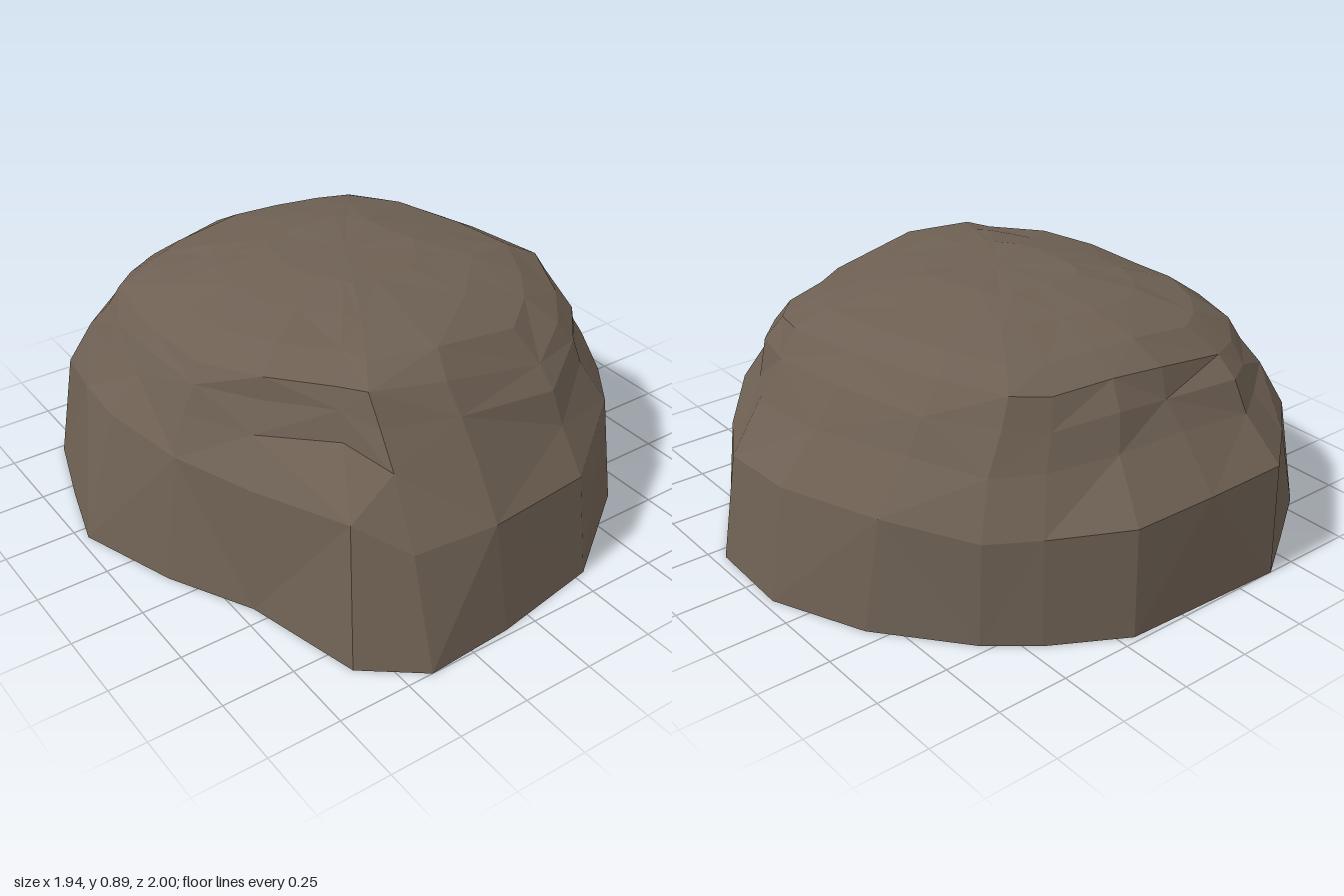
import * as THREE from 'three';

// Columns around the boulder, from the back round by the +x side:
// base x, base z, rim x, rim z, shoulder height, shoulder inset, ledge inset
const columns = [
  [-0.40, -1.00, -0.38, -0.72, 0.38, 0.08, 0.55],
  [-0.10, -0.99, -0.10, -0.74, 0.38, 0.03, 0.62],
  [0.20, -0.98, 0.08, -0.72, 0.37, 0.03, 0.62],
  [0.45, -0.84, 0.30, -0.68, 0.36, 0.08, 0.55],
  [0.60, -0.72, 0.42, -0.62, 0.36, 0.10, 0.50],
  [0.83, -0.44, 0.52, -0.42, 0.38, 0.20, 0.55],
  [0.97, -0.12, 0.62, -0.12, 0.39, 0.20, 0.55],
  [0.96, 0.20, 0.65, 0.17, 0.38, 0.21, 0.58],
  [0.82, 0.42, 0.58, 0.36, 0.36, 0.20, 0.52],
  [0.65, 0.65, 0.47, 0.50, 0.40, 0.24, 0.54],
  [0.29, 0.91, 0.30, 0.63, 0.36, 0.22, 0.60],
  [-0.10, 0.98, -0.10, 0.65, 0.38, 0.20, 0.60],
  [-0.41, 1.00, -0.36, 0.59, 0.37, 0.33, 0.70],
  [-0.60, 0.85, -0.41, 0.50, 0.46, 0.30, 0.80],
  [-0.70, 0.44, -0.55, 0.30, 0.44, 0.27, 0.72],
  [-0.85, 0.15, -0.65, 0.08, 0.44, 0.36, 0.70],
  [-0.97, -0.20, -0.66, -0.18, 0.47, 0.38, 0.72],
  [-0.90, -0.45, -0.64, -0.38, 0.44, 0.32, 0.66],
  [-0.81, -0.73, -0.60, -0.55, 0.40, 0.24, 0.60],
  [-0.60, -0.87, -0.50, -0.66, 0.40, 0.16, 0.56],
];

// Height of the rim at each column
const rimHeights = [
  0.70, 0.74, 0.75, 0.74, 0.75, 0.76, 0.76, 0.76, 0.73, 0.70,
  0.67, 0.76, 0.77, 0.78, 0.76, 0.73, 0.72, 0.72, 0.70, 0.69,
];

// Small seeded irregularity, from -amount to +amount
let seed = 7;
function jitter(amount) {
  seed = (seed * 16807) % 2147483647;
  return (seed / 2147483647 * 2 - 1) * amount;
}

function createRings() {
  const topY = 0.89, centreZ = -0.05, lerp = THREE.MathUtils.lerp;

  // A ring on the side, raised from shoulder to rim by a share
  const wall = (share, insetOf, rough) => columns.map((c, j) => {
    const inset = insetOf(c);
    return new THREE.Vector3(
      lerp(c[0], c[2], inset) + jitter(rough),
      lerp(c[4], rimHeights[j], share) + jitter(rough),
      lerp(c[1], c[3], inset) + jitter(rough));
  });
  // A ring on the domed top, shrunk from the rim
  const crown = (scale, drop, rough) => columns.map((c, j) => new THREE.Vector3(
    c[2] * scale + jitter(rough * 2),
    lerp(topY, rimHeights[j], drop) + jitter(rough),
    lerp(centreZ, c[3], scale) + jitter(rough * 2)));
  const point = y => columns.map(() => new THREE.Vector3(0, y, centreZ));

  return [
    point(0),                                        // underside
    columns.map(c => new THREE.Vector3(c[0], 0, c[1])), // foot
    wall(0, c => c[5], 0.012),                       // shoulder
    wall(0.45, c => c[6], 0.016),                    // ledge
    wall(0.76, c => 0.5 + c[6] * 0.5, 0.013),        // upper face
    wall(1, () => 1, 0.008),                         // rim
    crown(0.84, 0.58, 0.007),
    crown(0.60, 0.26, 0.005),
    crown(0.34, 0.04, 0.003),
    point(topY),                                     // summit
  ];
}

// Skin neighbouring rings, flipping alternate diagonals for broken facets
function skin(rings) {
  const positions = [];
  const triangle = (a, b, c) => {
    if (a.equals(b) || b.equals(c) || c.equals(a)) return;
    for (const p of [a, b, c]) positions.push(p.x, p.y, p.z);
  };
  for (let i = 0; i < rings.length - 1; i++) {
    for (let j = 0; j < columns.length; j++) {
      const k = (j + 1) % columns.length;
      const a = rings[i][j], b = rings[i + 1][j];
      const c = rings[i + 1][k], d = rings[i][k];
      if ((i + j) % 2) {
        triangle(a, b, c);
        triangle(a, c, d);
      } else {
        triangle(a, b, d);
        triangle(b, c, d);
      }
    }
  }
  const geometry = new THREE.BufferGeometry();
  geometry.setAttribute('position', new THREE.Float32BufferAttribute(positions, 3));
  geometry.computeVertexNormals();
  return geometry;
}

export function createModel() {
  seed = 7;
  const stone = new THREE.MeshStandardMaterial({ color: 0x6e6053, flatShading: true });
  stone.name = 'brown stone';
  const boulder = new THREE.Mesh(skin(createRings()), stone);
  boulder.name = 'boulder';
  const group = new THREE.Group();
  group.name = 'rock';
  group.add(boulder);
  return group;
}
